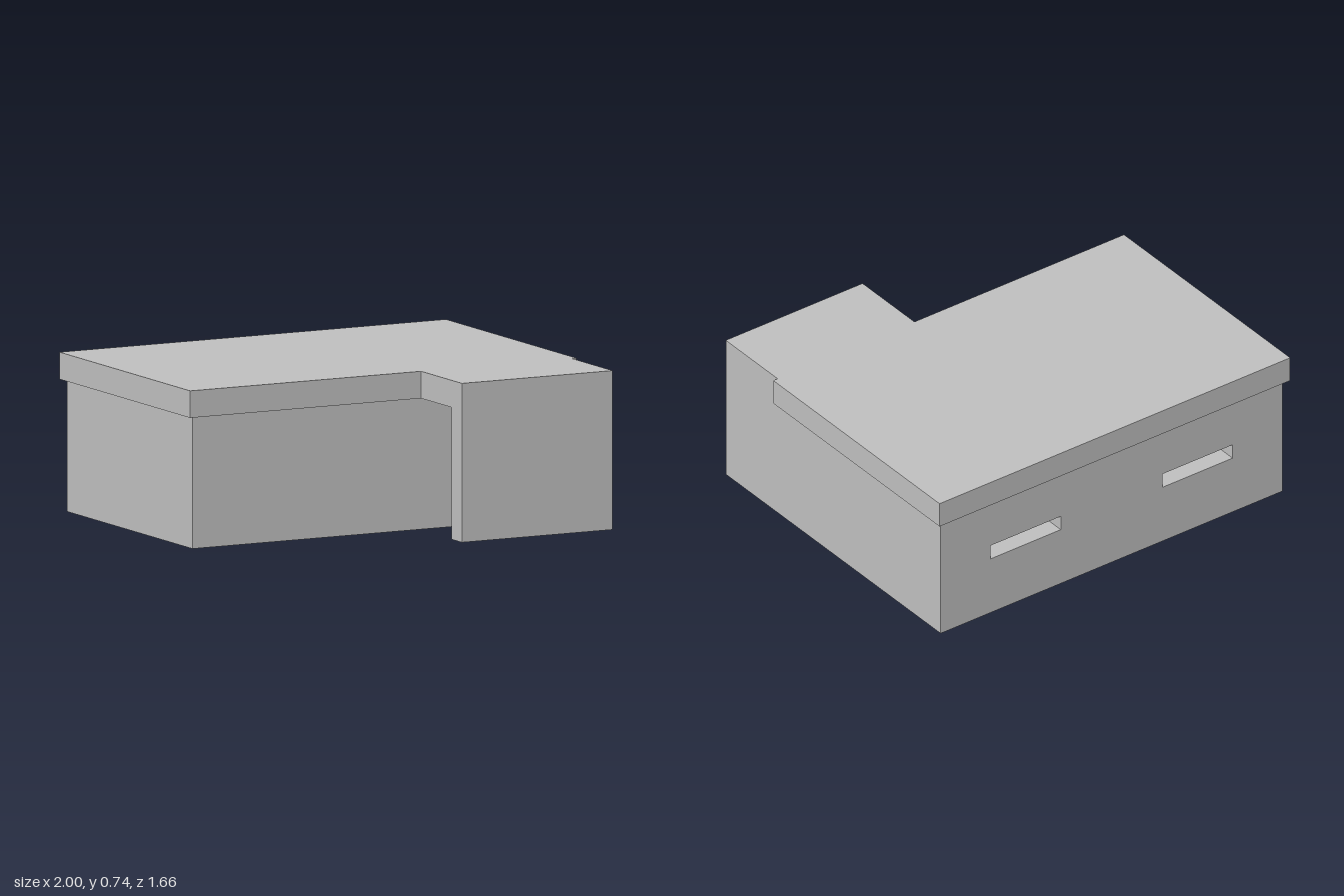
import * as THREE from 'three';

const WALL_TOP = 0.61;   // underside of the roof slab
const ROOF_TOP = 0.735;

// Extrude a plan outline of [x, z] points upward from y0 to y1
function slab(points, y0, y1) {
  const shape = new THREE.Shape(points.map(([x, z]) => new THREE.Vector2(x, -z)));
  const geo = new THREE.ExtrudeGeometry(shape, { depth: y1 - y0, bevelEnabled: false });
  return geo.rotateX(-Math.PI / 2).translate(0, y0, 0);
}

function rect(x0, y0, x1, y1, Type = THREE.Path) {
  return new Type([[x0, y0], [x1, y0], [x1, y1], [x0, y1]].map(p => new THREE.Vector2(...p)));
}

export function createModel() {
  const group = new THREE.Group();
  const concrete = new THREE.MeshStandardMaterial({ color: 0xbfbfbf });
  concrete.name = 'concrete grey';

  const add = (name, geometry) => {
    const mesh = new THREE.Mesh(geometry, concrete);
    mesh.name = name;
    group.add(mesh);
  };

  // Back wall with two viewing slots
  const back = rect(-0.975, 0, 0.975, WALL_TOP, THREE.Shape);
  back.holes.push(rect(-0.69, 0.295, -0.29, 0.368), rect(0.29, 0.295, 0.69, 0.368));
  add('backWall', new THREE.ExtrudeGeometry(back, { depth: 0.15, bevelEnabled: false })
    .translate(0, 0, -0.805));

  // Right side wall and front wall up to the doorway
  add('rightAndFrontWall', slab([
    [-0.975, -0.655], [-0.975, 0.41], [0.39, 0.41], [0.39, 0.26],
    [-0.825, 0.26], [-0.825, -0.655],
  ], 0, WALL_TOP));

  // Left side wall running on around the porch, with the stub beside the doorway
  add('leftAndPorchWall', slab([
    [0.975, -0.655], [0.825, -0.655], [0.825, 0.26], [0.68, 0.26], [0.68, 0.41],
    [0.875, 0.41], [0.875, 0.73], [0.195, 0.73], [0.195, 0.83], [0.975, 0.83],
  ], 0, WALL_TOP));

  // Floor of the main room
  add('floor', slab([
    [-0.825, -0.655], [-0.825, 0.26], [0.825, 0.26], [0.825, -0.655],
  ], 0, 0.05));

  // Roof slab, overhanging the room and flush with the porch
  add('roof', slab([
    [-1, -0.83], [-1, 0.435], [0.195, 0.435], [0.195, 0.83],
    [0.975, 0.83], [0.975, 0.435], [1, 0.435], [1, -0.83],
  ], WALL_TOP, ROOF_TOP));

  return group;
}
